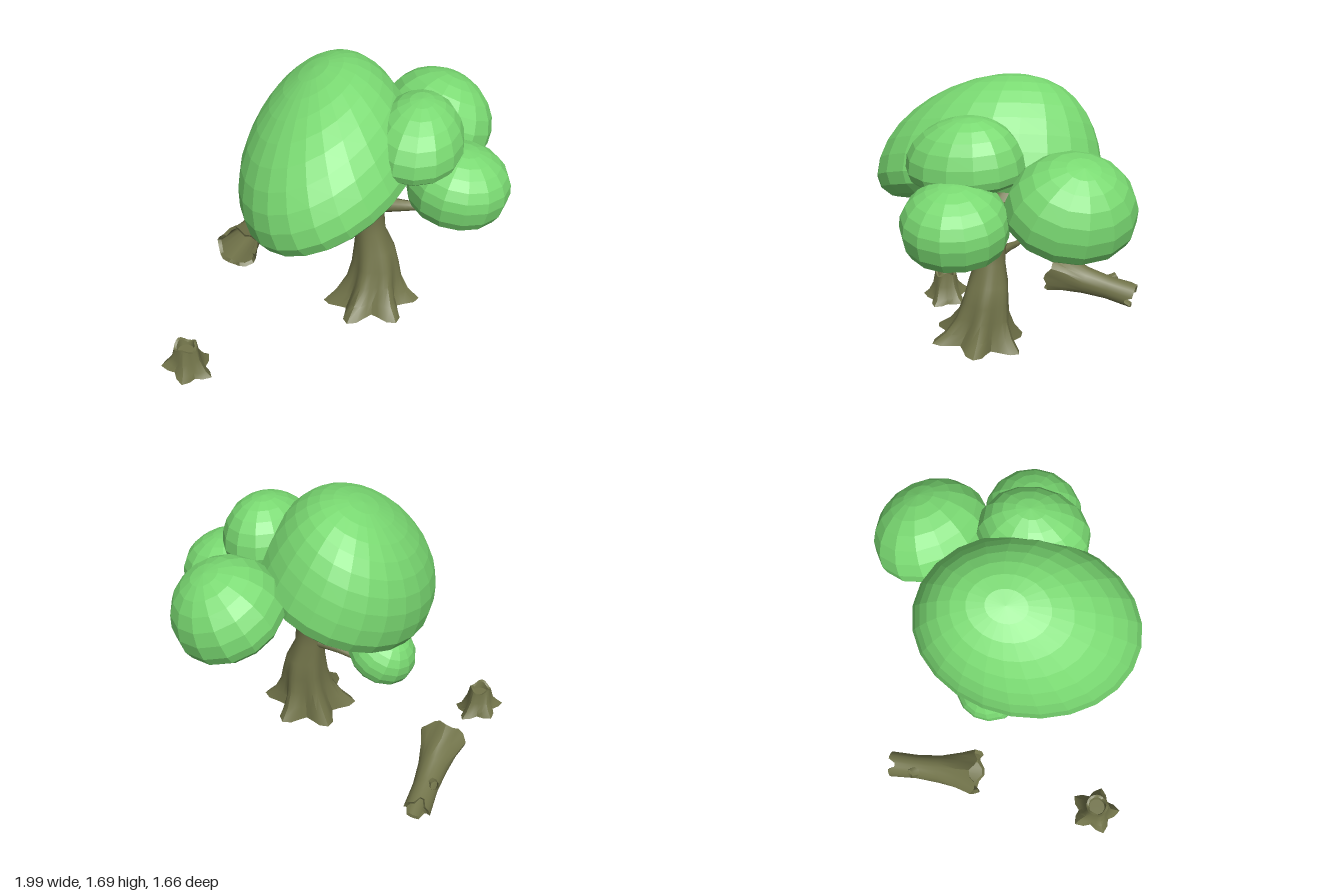
import * as THREE from 'three';
import { toCreasedNormals } from 'three/addons/utils/BufferGeometryUtils.js';

const leafMat = new THREE.MeshStandardMaterial({ color: 0x7ada72, flatShading: true });
const barkMat = new THREE.MeshStandardMaterial({ color: 0x72744a, side: THREE.DoubleSide });

function addMesh(parent, name, geometry, material) {
  const mesh = new THREE.Mesh(geometry, material);
  mesh.name = name;
  parent.add(mesh);
  return mesh;
}

// Skin over horizontal rings [x, y, z, r]; shape(k, angle) gives { r: factor, y: offset }
function loft(rings, sides, shape) {
  const pos = [], idx = [];
  rings.forEach(([x, y, z, r], k) => {
    for (let i = 0; i < sides; i++) {
      const a = (i / sides) * Math.PI * 2;
      const s = shape(k, a);
      pos.push(x + Math.cos(a) * r * s.r, y + s.y, z + Math.sin(a) * r * s.r);
    }
  });
  for (let k = 0; k < rings.length - 1; k++) {
    for (let i = 0; i < sides; i++) {
      const j = (i + 1) % sides;
      const a = k * sides + i, b = k * sides + j, c = b + sides, d = a + sides;
      idx.push(a, d, b, b, d, c);
    }
  }
  const g = new THREE.BufferGeometry();
  g.setAttribute('position', new THREE.Float32BufferAttribute(pos, 3));
  g.setIndex(idx);
  return toCreasedNormals(g, 0.7);
}

// Branch: a tube along points, tapering from r0 to r1
function branch(points, r0, r1) {
  const curve = new THREE.CatmullRomCurve3(points.map((p) => new THREE.Vector3(...p)));
  const n = 12, sides = 7;
  const g = new THREE.TubeGeometry(curve, n, 1, sides);
  const p = g.attributes.position, v = new THREE.Vector3();
  for (let i = 0; i < p.count; i++) {
    const t = Math.floor(i / (sides + 1)) / n;
    const c = curve.getPointAt(t);
    const r = r1 + (r0 - r1) * Math.pow(1 - t, 1.8);
    v.fromBufferAttribute(p, i).sub(c).multiplyScalar(r).add(c);
    p.setXYZ(i, v.x, v.y, v.z);
  }
  g.computeVertexNormals();
  return g;
}

// Mushroom-like leaf dome with a rolled rim, hollow underside and a crown leaning in local x and z
function leafDome({ at, size, axis, yaw = 0, drop = 0.25, lean = [0, 0], sides = 14, rows = 6 }) {
  const profile = [
    [0, 0.15 - drop * 0.6], [0.45, 0.06 - drop * 0.7], [0.74, -drop * 0.9],
    [0.86, -drop], [0.96, -drop * 0.6],
  ].map(([x, y]) => new THREE.Vector2(x, y));
  for (let i = 0; i <= rows; i++) {
    const a = (i / rows) * Math.PI / 2;
    profile.push(new THREE.Vector2(i === rows ? 0 : Math.cos(a), Math.sin(a)));
  }
  const g = new THREE.LatheGeometry(profile, sides);
  const p = g.attributes.position;
  for (let i = 0; i < p.count; i++) {
    const h = Math.max(0, p.getY(i)) ** 2;
    p.setX(i, p.getX(i) + lean[0] * h);
    p.setZ(i, p.getZ(i) + lean[1] * h);
  }
  g.scale(...size);
  g.rotateY(yaw);
  g.applyQuaternion(new THREE.Quaternion().setFromUnitVectors(
    new THREE.Vector3(0, 1, 0), new THREE.Vector3(...axis).normalize()));
  g.translate(...at);
  g.computeVertexNormals();
  return g;
}

export function createModel() {
  const model = new THREE.Group();
  const tree = new THREE.Group();
  tree.name = 'tree';
  model.add(tree);

  // Trunk with root flares on sloping ground
  const trunkRings = [
    [0.17, 0.29, 0.30, 0], [0.17, 0.285, 0.305, 0.215], [0.18, 0.35, 0.295, 0.17],
    [0.195, 0.44, 0.285, 0.137], [0.205, 0.53, 0.275, 0.122], [0.205, 0.63, 0.26, 0.108],
    [0.19, 0.74, 0.24, 0.08], [0.185, 0.84, 0.23, 0.08], [0.19, 0.93, 0.225, 0.095],
    [0.195, 1.0, 0.225, 0.09], [0.2, 1.04, 0.225, 0.055], [0.2, 1.05, 0.225, 0],
  ];
  const flare = [0, 0.24, 0.18, 0.1, 0.06, 0.03];
  addMesh(tree, 'trunk', loft(trunkRings, 36, (k, a) => ({
    r: 1 + (flare[k] || 0) * Math.cos(6 * (a - Math.PI / 2)),
    y: k < 5 ? Math.sin(a) * trunkRings[k][3] * 0.18 * (1 - k / 5) : 0,
  })), barkMat);

  // Branches reaching into each dome
  const branches = [
    [[[0.18, 0.95, 0.23], [0.02, 0.99, 0.25], [-0.13, 1.0, 0.28], [-0.24, 1.05, 0.31], [-0.32, 1.11, 0.33]], 0.065, 0.016],
    [[[0.18, 0.96, 0.22], [0.14, 1.07, 0.13], [0.13, 1.18, 0.03], [0.14, 1.3, -0.05]], 0.07, 0.02],
    [[[0.14, 1.06, 0.13], [0.06, 1.11, 0.06], [-0.02, 1.19, -0.04]], 0.025, 0.01],
    [[[0.21, 0.96, 0.23], [0.225, 1.12, 0.27], [0.245, 1.36, 0.37]], 0.07, 0.018],
    [[[0.2, 0.9, 0.24], [0.33, 0.93, 0.38], [0.43, 0.95, 0.46], [0.44, 1.06, 0.49]], 0.055, 0.014],
    [[[0.2, 0.95, 0.22], [0.31, 1.07, 0.18], [0.46, 1.14, 0.12], [0.6, 1.25, 0.07]], 0.075, 0.018],
    [[[0.18, 0.76, 0.22], [0.08, 0.745, 0.08], [0.0, 0.73, -0.03], [-0.06, 0.8, -0.1]], 0.04, 0.012],
  ];
  for (const [points, r0, r1] of branches) addMesh(tree, 'branch', branch(points, r0, r1), barkMat);

  // Foliage domes, each tipped outward
  const domes = {
    mainFoliage: {
      at: [-0.01, 1.13, 0.155], size: [0.61, 0.525, 0.48], axis: [-0.36, 0.9, -0.2],
      yaw: Math.PI / 4, drop: 0.2, lean: [0.26, 0.2], sides: 24, rows: 9,
    },
    frontUpperFoliage: {
      at: [0.325, 1.34, 0.43], size: [0.3, 0.255, 0.24], axis: [0, 1, 0.06],
      yaw: Math.PI / 4, lean: [0.12, 0],
    },
    frontLowerFoliage: { at: [0.505, 1.13, 0.565], size: [0.27, 0.21, 0.265], axis: [0.1, 1, 0.08], drop: 0.6 },
    leftFoliage: { at: [0.7, 1.17, 0.045], size: [0.3, 0.29, 0.33], axis: [0.45, 1, 0], drop: 0.3 },
    backFoliage: { at: [-0.08, 0.81, -0.135], size: [0.19, 0.165, 0.19], axis: [-0.3, 1, -0.48], drop: 0.4 },
  };
  for (const [name, d] of Object.entries(domes)) addMesh(tree, name, leafDome(d), leafMat);

  // Stump with five roots and a jagged, hollowed top
  const stumpRings = [
    [0, 0.03, 0, 0], [0, 0.03, 0, 0.122], [0, 0.06, 0, 0.098], [-0.005, 0.11, 0, 0.076],
    [-0.005, 0.185, 0, 0.064], [-0.005, 0.18, 0, 0.05], [-0.005, 0.15, 0, 0.045], [-0.005, 0.15, 0, 0],
  ];
  const stumpFlare = [0, 0.22, 0.16, 0.09, 0.03, 0.03, 0, 0];
  const stump = addMesh(model, 'stump', loft(stumpRings, 20, (k, a) => ({
    r: 1 + stumpFlare[k] * Math.cos(5 * (a + Math.PI / 2)),
    y: k < 3 ? -Math.cos(a) * 0.02 - Math.sin(a) * 0.018
      : (k === 4 || k === 5) ? 0.015 * Math.sin(3 * a + 1) : 0,
  })), barkMat);
  stump.position.set(-0.86, 0, 0.07);

  // Hollow fallen log with broken ends and a knot
  const log = new THREE.Group();
  log.name = 'fallenLog';
  const logRings = [
    [0, 0.01, 0, 0.105], [0, 0, 0, 0.125], [0, 0.1, 0, 0.1], [0, 0.22, 0, 0.08], [0, 0.36, 0, 0.068],
    [0, 0.52, 0, 0.073], [0, 0.515, 0, 0.055], [0, 0.3, 0, 0.06], [0, 0.01, 0, 0.105],
  ];
  addMesh(log, 'hollowShell', loft(logRings, 20, (k, a) => ({
    r: 1 + (k < 3 || k === 8 ? 0.08 * Math.cos(5 * a) : 0.03 * Math.cos(3 * a)),
    y: k < 2 || k === 8 ? 0.02 * Math.sin(5 * a + 1)
      : (k === 5 || k === 6) ? (Math.sin(3 * a) > 0.5 ? -0.04 : 0) : 0,
  })), barkMat);
  addMesh(log, 'knot', branch([[-0.03, 0.34, 0], [-0.06, 0.36, 0], [-0.085, 0.38, 0]], 0.045, 0.025), barkMat);
  const from = new THREE.Vector3(-0.33, 0.335, -0.41), to = new THREE.Vector3(0.03, 0.235, -0.78);
  log.position.copy(from);
  log.quaternion.setFromUnitVectors(new THREE.Vector3(0, 1, 0), to.sub(from).normalize());
  model.add(log);

  return model;
}
